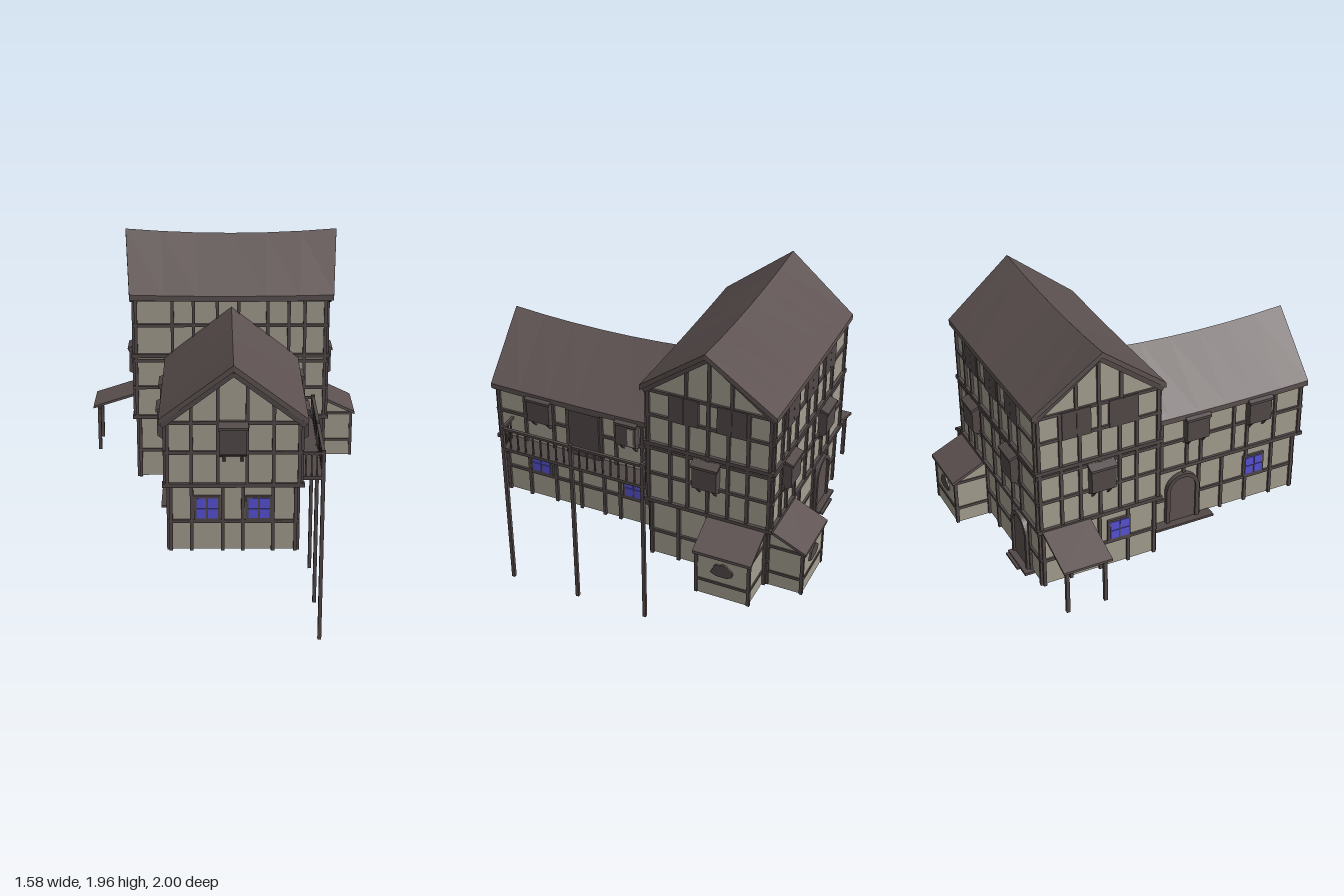
import * as THREE from 'three';

const mat = (name, color, side = THREE.FrontSide) => {
  const m = new THREE.MeshStandardMaterial({ color, side });
  m.name = name;
  return m;
};

export function createModel() {
  const plaster = mat('plaster', 0xa39d8f, THREE.DoubleSide);
  const timber = mat('timber', 0x524848);
  const roofing = mat('roofing', 0x5c5150, THREE.DoubleSide);
  const glass = mat('glass', 0x5852d6);
  const model = new THREE.Group();
  model.name = 'timberHouse';

  const add = (parent, name, geo, m, x = 0, y = 0, z = 0) => {
    const mesh = new THREE.Mesh(geo, m);
    mesh.name = name;
    mesh.position.set(x, y, z);
    parent.add(mesh);
    return mesh;
  };
  const box = (parent, name, m, x0, x1, y0, y1, z0, z1) =>
    add(parent, name, new THREE.BoxGeometry(x1 - x0, y1 - y0, z1 - z0), m,
      (x0 + x1) / 2, (y0 + y1) / 2, (z0 + z1) / 2);
  const extrude = (shape, depth) => new THREE.ExtrudeGeometry(shape, { depth, bevelEnabled: false, curveSegments: 10 });
  const poly = pts => new THREE.Shape(pts.map(p => new THREE.Vector2(...p)));

  // A wall frame: local z points outwards, s converts world x or z to local x
  const wall = (name, dir, off) => {
    const g = new THREE.Group();
    g.name = name;
    g.rotation.y = { front: 0, right: Math.PI / 2, back: Math.PI, left: -Math.PI / 2 }[dir];
    g.position.set(dir === 'right' || dir === 'left' ? off : 0, 0, dir === 'front' || dir === 'back' ? off : 0);
    g.userData.s = dir === 'front' || dir === 'left' ? 1 : -1;
    model.add(g);
    return g;
  };
  const beam = (w, name, c, width, y0, y1, z0 = -0.014, z1 = 0.014, m = timber) => {
    const u = c * w.userData.s;
    return box(w, name, m, u - width / 2, u + width / 2, y0, y1, z0, z1);
  };
  const slant = (w, a0, y0, a1, y1) => {
    const s = w.userData.s, dx = (a1 - a0) * s, dy = y1 - y0;
    const b = add(w, 'gableRafter', new THREE.BoxGeometry(Math.hypot(dx, dy), 0.028, 0.03), timber,
      s * (a0 + a1) / 2, (y0 + y1) / 2, 0.008);
    b.rotation.z = Math.atan2(dy, dx);
  };
  const frame = (w, a0, a1, y0, y1, posts, rails) => {
    for (const p of [a0 + 0.008, ...posts, a1 - 0.008]) beam(w, 'post', p, 0.018, y0, y1);
    for (const r of rails) beam(w, 'rail', (a0 + a1) / 2, a1 - a0 + 0.02, r - 0.009, r + 0.009, -0.012, 0.012);
  };
  // Side profile given as [out, y], swept across the wall
  const sweep = (w, name, c, width, pts, m = timber) => {
    const geo = extrude(poly(pts), width).translate(0, 0, -width / 2).rotateY(-Math.PI / 2);
    return add(w, name, geo, m, c * w.userData.s);
  };
  const bay = (w, c, width = 0.14) => {
    sweep(w, 'bayWindow', c, width, [[0, 1.09], [0.05, 1.12], [0.05, 1.26], [0, 1.28]]);
    sweep(w, 'bayCap', c, width + 0.014, [[0, 1.27], [0.058, 1.25], [0.058, 1.265], [0, 1.288]]);
    for (const k of [-1, 1])
      sweep(w, 'bayBracket', c + k * width * 0.33, 0.015, [[0, 1.065], [0.04, 1.113], [0.04, 1.12], [0, 1.12]]);
  };
  const windowAt = (w, c) => {
    beam(w, 'windowFrame', c, 0.138, 0.732, 0.868, 0, 0.014);
    for (const dx of [-0.03, 0.03]) for (const y of [0.772, 0.83])
      beam(w, 'windowPane', c + dx, 0.05, y - 0.026, y + 0.026, 0.011, 0.019, glass);
  };
  const shutter = (w, c) => {
    for (const k of [-1, 1]) beam(w, 'shutter', c + k * 0.0415, 0.081, 1.478, 1.64, 0, 0.018);
  };
  const archDoor = (w, c) => {
    const arch = (hw, top) => {
      const s = new THREE.Shape();
      s.moveTo(-hw, 0.57); s.lineTo(hw, 0.57); s.lineTo(hw, top - hw);
      s.absarc(0, top - hw, hw, 0, Math.PI);
      return s;
    };
    const rim = arch(0.105, 0.885);
    rim.holes.push(arch(0.082, 0.862));
    add(w, 'doorFrame', extrude(rim, 0.03), timber, c * w.userData.s);
    add(w, 'door', extrude(arch(0.085, 0.865), 0.018), roofing, c * w.userData.s);
  };
  const fan = (w, c, out) => {
    const pts = [];
    for (let i = 0; i <= 40; i++) {
      const t = Math.PI * i / 40, r = 0.88 + 0.12 * Math.abs(Math.sin(t * 3.5));
      pts.push([0.065 * r * Math.cos(t), 0.72 + 0.068 * r * Math.sin(t)]);
    }
    pts.push([-0.03, 0.705], [0.03, 0.705]);
    add(w, 'fanOrnament', extrude(poly(pts), 0.01), timber, c * w.userData.s, 0, out);
  };

  // Storey bodies: hollow, open-bottomed ground floor and gabled upper floors
  const hollow = (name, x0, x1, z0, z1, y0, y1) => {
    const rect = t => poly([[x0 + t, -z1 + t], [x1 - t, -z1 + t], [x1 - t, -z0 - t], [x0 + t, -z0 - t]]);
    const s = rect(0);
    s.holes.push(rect(0.008));
    add(model, name, extrude(s, y1 - y0).rotateX(-Math.PI / 2), plaster, 0, y0, 0);
  };
  hollow('mainGroundFloor', -0.5, 0.565, -0.775, -0.1, 0.565, 0.94);
  hollow('wingGroundFloor', -0.295, 0.365, -0.1, 0.92, 0.565, 0.94);
  const gabled = (half, eave, apex, len) => extrude(
    poly([[-half, 0.94], [half, 0.94], [half, eave], [0, apex], [-half, eave]]), len).translate(0, 0, -len / 2);
  add(model, 'mainUpperFloors', gabled(0.3525, 1.635, 1.9, 1.09).rotateY(Math.PI / 2), plaster, 0.03, 0, -0.4375);
  add(model, 'wingUpperFloor', gabled(0.345, 1.27, 1.535, 1.035), plaster, 0.035, 0, 0.4275);

  // Sagging gable roof, ridge along local z
  const roof = (name, half, ridge, eaves, ridgeY, eaveY, sag) => {
    const n = 6, pos = [], idx = [], th = 0.032;
    for (let k = 0; k <= n; k++) {
      const f = k / n, t = 2 * f - 1, ry = ridgeY + sag * t * t, ey = eaveY + sag * 0.3 * t * t;
      const rz = THREE.MathUtils.lerp(...ridge, f), ez = THREE.MathUtils.lerp(...eaves, f);
      pos.push(-half, ey, ez, -half, ey - th, ez, 0, ry - th, rz, half, ey - th, ez, half, ey, ez, 0, ry, rz);
    }
    const quad = (a, b, c, d) => idx.push(a, b, c, a, c, d);
    for (let k = 0; k < n; k++) for (let i = 0; i < 6; i++) {
      const j = (i + 1) % 6, o = k * 6;
      quad(o + i, o + j, o + 6 + j, o + 6 + i);
    }
    const e = n * 6;
    quad(e, e + 1, e + 2, e + 5); quad(e + 5, e + 2, e + 3, e + 4);
    quad(5, 2, 1, 0); quad(4, 3, 2, 5);
    let g = new THREE.BufferGeometry();
    g.setAttribute('position', new THREE.Float32BufferAttribute(pos, 3));
    g.setIndex(idx);
    g = g.toNonIndexed();
    g.computeVertexNormals();
    return add(model, name, g, roofing);
  };
  const mainRoof = roof('mainRoof', 0.38, [-0.575, 0.645], [-0.54, 0.61], 1.937, 1.66, 0.026);
  mainRoof.rotation.y = Math.PI / 2;
  mainRoof.position.z = -0.4375;
  roof('wingRoof', 0.38, [-0.1, 0.998], [-0.1, 0.965], 1.567, 1.29, 0.025).position.x = 0.035;

  // Main block timber framing
  const xPosts = [-0.3, -0.18, -0.045, 0.075, 0.24, 0.36, 0.45];
  const zPosts = [-0.22, -0.32, -0.435, -0.55, -0.66];
  const mainWalls = {};
  for (const [dir, lo, up] of [['front', -0.1, -0.085], ['back', -0.775, -0.79], ['left', -0.5, -0.515], ['right', 0.565, 0.575]]) {
    const alongX = dir === 'front' || dir === 'back';
    const lower = wall(dir + 'GroundFraming', dir, lo), upper = wall(dir + 'UpperFraming', dir, up);
    mainWalls[dir] = { lower, upper };
    const [a0, a1] = alongX ? [-0.515, 0.575] : [-0.79, -0.085];
    frame(lower, a0 + 0.015, a1 - 0.012, 0.56, 0.94, alongX ? [-0.35, -0.13, 0.1, 0.25, 0.42] : [-0.265, -0.435, -0.61], [0.725]);
    frame(upper, a0, a1, 0.94, 1.64, alongX ? xPosts : zPosts, [1.115, 1.275, 1.485, 1.635]);
    for (const y of [0.937, 1.307])
      beam(upper, 'floorBeam', (a0 + a1) / 2, a1 - a0 + 0.036, y - 0.011, y + 0.011, -0.02, 0.018);
    if (!alongX) {
      for (const z of [-0.31, -0.4375, -0.565])
        beam(upper, 'gablePost', z, 0.018, 1.64, 1.89 - Math.abs(z + 0.4375) * 0.75);
      for (const k of [-1, 1]) slant(upper, -0.4375 + k * 0.365, 1.632, -0.4375, 1.908);
      for (const z of [-0.3, -0.568]) shutter(upper, z);
      bay(upper, -0.432);
    }
  }
  for (const x of [0.33, 0.05, -0.23]) shutter(mainWalls.back.upper, x);
  for (const x of [0.34, -0.2]) bay(mainWalls.back.upper, x);
  for (const z of [-0.32, -0.62]) windowAt(mainWalls.left.lower, z);
  archDoor(mainWalls.back.lower, -0.245);
  box(model, 'backStep', timber, -0.38, -0.14, 0.556, 0.572, -0.83, -0.77);
  box(model, 'backLowerStep', timber, -0.305, -0.15, 0.552, 0.564, -0.847, -0.8);

  // Wing timber framing
  const wingPosts = [0.77, 0.59, 0.5, 0.29, 0.2, 0.04];
  const wingWalls = {};
  for (const [dir, lo, up] of [['left', -0.295, -0.31], ['right', 0.365, 0.38]]) {
    const lower = wall('wing_' + dir + 'GroundFraming', dir, lo), upper = wall('wing_' + dir + 'UpperFraming', dir, up);
    wingWalls[dir] = { lower, upper };
    frame(lower, -0.09, 0.92, 0.56, 0.94, [0.77, 0.6, 0.44, 0.29, 0.19, 0.0], [0.725]);
    frame(upper, -0.08, 0.945, 0.94, 1.27, wingPosts, [1.115, 1.268]);
    beam(upper, 'floorBeam', 0.44, 1.04, 0.926, 0.948, -0.02, 0.016);
  }
  const gf = wall('wingFrontGroundFraming', 'front', 0.92), gu = wall('wingFrontUpperFraming', 'front', 0.945);
  frame(gf, -0.295, 0.365, 0.56, 0.94, [-0.18, -0.02, 0.085, 0.24], [0.725]);
  frame(gu, -0.31, 0.38, 0.94, 1.27, [-0.18, -0.045, 0.105, 0.24], [1.115, 1.275]);
  beam(gu, 'floorBeam', 0.035, 0.73, 0.926, 0.948, -0.02, 0.016);
  for (const x of [-0.18, -0.045, 0.105, 0.24])
    beam(gu, 'gablePost', x, 0.018, 1.27, 1.525 - Math.abs(x - 0.035) * 0.77);
  for (const k of [-1, 1]) slant(gu, 0.035 + k * 0.365, 1.265, 0.035, 1.54);
  bay(gu, 0.033);
  for (const x of [-0.1, 0.168]) windowAt(gf, x);
  for (const z of [0.69, 0.1]) windowAt(wingWalls.right.lower, z);
  windowAt(wingWalls.left.lower, 0.65);
  for (const z of [0.25, 0.65]) bay(wingWalls.left.upper, z);
  bay(wingWalls.right.upper, 0.665);
  bay(wingWalls.right.upper, 0.12, 0.12);
  beam(wingWalls.right.upper, 'bayPane', 0.088, 0.036, 1.13, 1.24, 0.05, 0.055, plaster);
  archDoor(wingWalls.left.lower, 0.18);
  box(model, 'wingStep', timber, -0.36, -0.285, 0.556, 0.57, -0.01, 0.365);

  // Balcony on tall posts
  beam(wingWalls.right.upper, 'balconyDoor', 0.395, 0.185, 0.95, 1.255, 0, 0.02);
  beam(wingWalls.right.upper, 'balconyDoorHeader', 0.395, 0.21, 1.245, 1.268, 0, 0.03);
  box(model, 'balconyFloor', timber, 0.37, 0.512, 0.93, 0.95, -0.03, 0.868);
  box(model, 'balconyRail', timber, 0.492, 0.51, 1.068, 1.082, -0.02, 0.865);
  for (const z of [-0.015, 0.425, 0.86]) box(model, 'balconyPost', timber, 0.491, 0.511, 0, 1.09, z - 0.01, z + 0.01);
  for (let i = 1; i < 18; i++) {
    const z = -0.015 + i * 0.0486;
    box(model, 'baluster', timber, 0.497, 0.505, 0.95, 1.07, z - 0.004, z + 0.004);
  }
  for (const z of [-0.015, 0.86]) {
    box(model, 'balconyEndRail', timber, 0.38, 0.5, 1.068, 1.082, z - 0.008, z + 0.008);
    for (const x of [0.41, 0.44, 0.468]) box(model, 'baluster', timber, x - 0.004, x + 0.004, 0.95, 1.07, z - 0.004, z + 0.004);
  }

  // Lean-to annexes on the left-hand and back walls
  const annex = (w, c, width) => {
    const d = 0.197;
    sweep(w, 'annexBody', c, width, [[0, 0.555], [d, 0.555], [d, 0.83], [0, 0.92]], plaster);
    sweep(w, 'annexRoof', c, width + 0.034, [[-0.01, 0.926], [d + 0.018, 0.82], [d + 0.018, 0.838], [-0.01, 0.945]], roofing);
    for (const k of [-1, 1]) {
      const e = c + k * width / 2;
      beam(w, 'annexPost', e, 0.018, 0.555, 0.825, d - 0.012, d + 0.006);
      for (const y of [0.65, 0.822]) beam(w, 'annexSideRail', e, 0.014, y - 0.008, y + 0.008, 0, d);
    }
    for (const y of [0.65, 0.822]) beam(w, 'annexRail', c, width, y - 0.008, y + 0.008, d - 0.01, d + 0.006);
    fan(w, c, d);
  };
  annex(wall('sideAnnex', 'right', 0.568), -0.605, 0.3);
  annex(wall('backAnnex', 'back', -0.782), 0.405, 0.3);

  // Open porch roof on two posts
  const porch = wall('porch', 'left', -0.51);
  sweep(porch, 'porchRoof', -0.64, 0.28, [[0, 0.93], [0.288, 0.838], [0.288, 0.852], [0, 0.945]], roofing);
  for (const z of [-0.53, -0.75]) beam(porch, 'porchPost', z, 0.02, 0.565, 0.852, 0.245, 0.265);
  beam(porch, 'porchBeam', -0.64, 0.26, 0.835, 0.85, 0.246, 0.264);
  return model;
}
